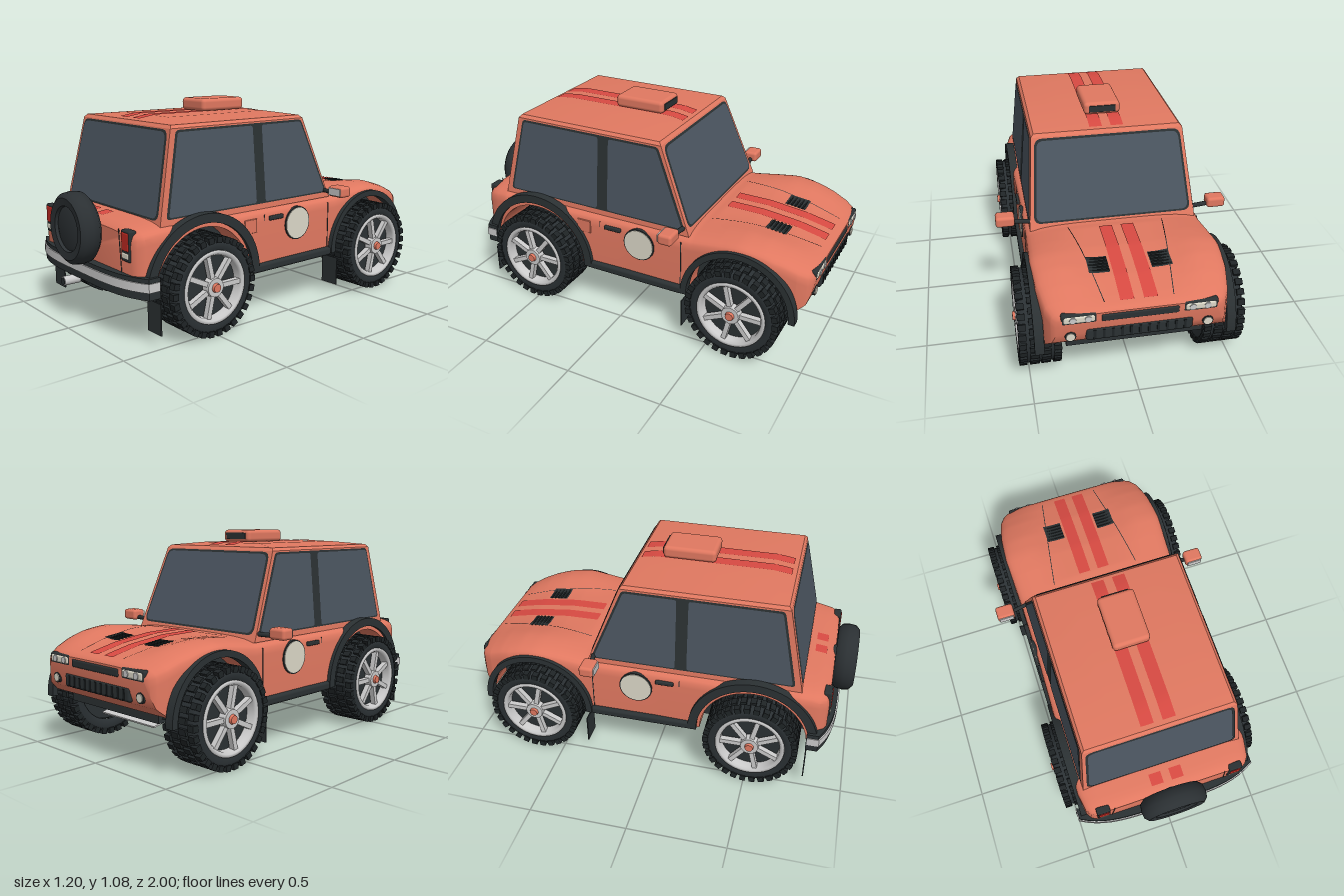
import * as THREE from 'three';
import { mergeGeometries, toCreasedNormals } from 'three/addons/utils/BufferGeometryUtils.js';
import { RoundedBoxGeometry } from 'three/addons/geometries/RoundedBoxGeometry.js';
import { ConvexGeometry } from 'three/addons/geometries/ConvexGeometry.js';

const mat = (color, side = THREE.FrontSide) => new THREE.MeshStandardMaterial({ color, side });
const PAINT = mat(0xe07860), RED = mat(0xd84a42, THREE.DoubleSide), DARK = mat(0x2b3133, THREE.DoubleSide);
const GLASS = mat(0x4b5560, THREE.DoubleSide), GREY = mat(0xcccccc), CREAM = mat(0xdcd8c8), LAMP = mat(0xc02a22);
const TYRE = mat(0x2a3033), RUBBER = mat(0x1f2426);

// Body rules: half width, shoulder height, bonnet centre height and lower edge along z
const lerpTable = (t, z) => {
  if (z <= t[0][0]) return t[0][1];
  for (let i = 1; i < t.length; i++) if (z <= t[i][0]) {
    const [a, b] = [t[i - 1], t[i]];
    return a[1] + (b[1] - a[1]) * (z - a[0]) / (b[0] - a[0]);
  }
  return t[t.length - 1][1];
};
const WIDTH = [[-.99, .36], [-.98, .385], [-.965, .405], [-.92, .43], [-.8, .455], [-.64, .465], [-.35, .455], [0, .455], [.3, .463], [.52, .468], [.75, .465], [.84, .45], [.87, .43], [.885, .4]];
const EDGE = [[-.99, .49], [-.98, .505], [-.94, .525], [-.85, .562], [-.75, .59], [-.64, .6], [-.53, .592], [-.38, .57], [0, .572], [.75, .572], [.84, .56], [.87, .55], [.885, .535]];
const CENTRE = [[-.99, .49], [-.98, .503], [-.94, .517], [-.8, .548], [-.6, .572], [-.38, .575], [0, .572]];
const BASE = [[-.99, .44], [-.98, .38], [-.965, .33], [-.92, .29], [-.88, .25], [.6, .25], [.84, .27], [.885, .28]];
const AXLES = [-.64, .52], WHEEL_Y = .25, ARCH = .275;
const lowerY = z => Math.max(lerpTable(BASE, z), ...AXLES.map(a =>
  Math.abs(z - a) < ARCH ? WHEEL_Y + Math.sqrt(ARCH ** 2 - (z - a) ** 2) : 0));
const shoulderY = z => Math.max(lowerY(z) + .005, lerpTable(EDGE, z) - .08);
const topY = (x, z) => {
  const w = lerpTable(WIDTH, z), t = lerpTable(EDGE, z), s = Math.min(shoulderY(z), t - .005);
  const k = Math.min(1, Math.abs(x) / w);
  const dip = z < 0 ? Math.max(0, t - lerpTable(CENTRE, z)) : 0;
  return s + (t - s) * Math.pow(1 - k ** 4, .25) - dip * (1 - THREE.MathUtils.smoothstep(k, .3, .75));
};

function bodyGeometry() {
  const zs = WIDTH.map(p => p[0]);
  for (let z = -.96; z < .88; z += .04) zs.push(z);
  AXLES.forEach(a => { for (let i = 0; i <= 28; i++) zs.push(a - ARCH * 1.0001 * Math.cos(i / 28 * Math.PI)); });
  zs.sort((a, b) => a - b);
  const stations = zs.filter((z, i) => i === 0 || z - zs[i - 1] > 1e-4), rows = 28;
  const rings = stations.map(z => {
    const w = lerpTable(WIDTH, z), b = lowerY(z), ring = [[-w, b, z]];
    for (let i = 0; i <= rows; i++) {
      const x = w * Math.sin((i / rows - .5) * Math.PI);
      ring.push([x, topY(x, z), z]);
    }
    return ring.concat([[w, b, z]]);
  });
  const pos = [], n = rings[0].length, last = rings.length - 1;
  for (let i = 0; i < last; i++) for (let j = 0; j < n; j++) {
    const k = (j + 1) % n, a = rings[i][j], b = rings[i][k], c = rings[i + 1][j], d = rings[i + 1][k];
    pos.push(...a, ...c, ...b, ...b, ...c, ...d);
  }
  for (let j = 0; j < n; j++) {
    const k = (j + 1) % n;
    pos.push(0, .465, stations[0], ...rings[0][j], ...rings[0][k]);
    pos.push(0, .4, stations[last], ...rings[last][k], ...rings[last][j]);
  }
  const g = new THREE.BufferGeometry();
  g.setAttribute('position', new THREE.Float32BufferAttribute(pos, 3));
  return toCreasedNormals(g, .6);
}

// Flat polygon with rounded corners
function roundedShape(pts, r) {
  const s = new THREE.Shape(), P = pts.map(p => new THREE.Vector2(...p)), n = P.length;
  P.forEach((p, i) => {
    const toward = q => p.clone().add(q.clone().sub(p).setLength(r));
    const a = toward(P[(i + n - 1) % n]), b = toward(P[(i + 1) % n]);
    i ? s.lineTo(a.x, a.y) : s.moveTo(a.x, a.y);
    s.quadraticCurveTo(p.x, p.y, b.x, b.y);
  });
  return s.closePath();
}

// Moves every vertex of a geometry by a rule
function remap(g, rule) {
  const p = g.attributes.position;
  for (let i = 0; i < p.count; i++) p.setXYZ(i, ...rule(p.getX(i), p.getY(i), p.getZ(i)));
  g.computeVertexNormals();
  return g;
}

function wheelGroup() {
  const wheel = new THREE.Group();
  const put = (name, g, m, y = 0) => { const o = new THREE.Mesh(g, m); o.name = name; o.position.y = y; wheel.add(o); };
  const lathe = (pts, m, name, seg = 48) => put(name, new THREE.LatheGeometry(pts.map(p => new THREE.Vector2(...p)), seg), m);
  lathe([[.165, -.08], [.175, -.092], [.205, -.097], [.224, -.088], [.231, -.06], [.231, .06], [.224, .088], [.205, .097], [.175, .092], [.165, .08]], TYRE, 'tyre');
  // Tread blocks in staggered rows
  const blocks = [];
  for (let i = 0; i < 30; i++) [[-.082, .036, 0], [-.027, .044, .5], [.027, .044, 0], [.082, .036, .5]].forEach(([y, h, shift]) => {
    const shoulder = Math.abs(y) > .05;
    const g = new THREE.BoxGeometry(shoulder ? .03 : .02, h, .03);
    g.translate(shoulder ? .227 : .232, y, 0).rotateY((i + shift) / 30 * Math.PI * 2);
    blocks.push(g);
  });
  put('tread', mergeGeometries(blocks), RUBBER);
  put('wheelBack', new THREE.CylinderGeometry(.166, .166, .11, 40), DARK, -.005);
  lathe([[.155, .05], [.178, .09], [.176, .1], [.162, .1], [.153, .088], [.15, .05]].reverse(), mat(0xcccccc, THREE.DoubleSide), 'rim');
  const spokes = [];
  for (let i = 0; i < 7; i++)
    spokes.push(new THREE.BoxGeometry(.13, .03, .024).translate(.095, .075, 0).rotateY(i / 7 * Math.PI * 2 + Math.PI / 2));
  put('spokes', mergeGeometries(spokes), GREY);
  put('hub', new THREE.CylinderGeometry(.045, .05, .04, 24), GREY, .08);
  put('hubCap', new THREE.CylinderGeometry(.02, .025, .02, 16), PAINT, .103);
  return wheel;
}

export function createModel() {
  const car = new THREE.Group();
  car.name = 'car';
  const add = (name, g, m, x = 0, y = 0, z = 0) => {
    const o = new THREE.Mesh(g, m);
    o.name = name; o.position.set(x, y, z); car.add(o);
    return o;
  };
  const box = (name, m, w, h, d, x, y, z, r = 0) => add(name, r ? new RoundedBoxGeometry(w, h, d, 3, r) : new THREE.BoxGeometry(w, h, d), m, x, y, z);
  const panel = (name, m, pts, r, rule) => add(name, remap(new THREE.ShapeGeometry(roundedShape(pts, r), 6), rule), m);
  const both = fn => [1, -1].forEach(fn);

  add('body', bodyGeometry(), PAINT);
  box('floor', DARK, .66, .05, 1.74, 0, .262, -.02);
  box('floorMiddle', DARK, .9, .02, .58, 0, .248, -.062);
  box('innerWells', DARK, .66, .22, 1.58, 0, .38, -.1);

  // Cabin with a slightly crowned roof
  const corners = [];
  both(s => [[.43, .55, .747], [.43, .55, -.362], [.39, .985, .655], [.39, .985, -.187], [.375, 1, .642], [.375, 1, -.172], [.2, 1.017, .53], [.2, 1.017, -.08]]
    .forEach(([x, y, z]) => corners.push(new THREE.Vector3(s * x, y, z))));
  add('cabin', toCreasedNormals(new ConvexGeometry(corners), .25), PAINT);

  // Windows and their seals
  const rear = off => (x, y) => [x, y, .747 - (y - .55) * .2115 + off];
  const front = off => (x, y) => [x, y, -.362 + (y - .55) * .402 - off];
  const tall = (w0, w1, y0, y1) => [[-w0, y0], [w0, y0], [w1, y1], [-w1, y1]];
  [['rearWindow', rear, 0], ['windscreen', front, .01]].forEach(([name, rule, lift]) => {
    panel(name + 'Seal', DARK, tall(.408, .374, .572 + lift, .98), .04, rule(.003));
    panel(name, GLASS, tall(.396, .363, .582 + lift, .97), .035, rule(.006));
  });
  both(s => {
    const side = off => (z, y) => [s * (.43 - (y - .55) * .092 + off), y, z];
    panel('sideSeal', DARK, [[.712, .578], [.628, .978], [-.172, .978], [-.34, .578]], .02, side(.003));
    panel('rearSideWindow', GLASS, [[.698, .586], [.619, .968], [.165, .968], [.165, .586]], .015, side(.006));
    panel('doorWindow', GLASS, [[.105, .586], [.105, .968], [-.164, .968], [-.324, .586]], .015, side(.006));
  });

  // Roof scoop and racing stripes
  box('roofScoop', PAINT, .19, .065, .275, 0, 1.052, .098, .02);
  box('scoopIntake', DARK, .14, .034, .01, 0, 1.052, -.039);
  const strip = (name, m, x, w, z0, z1, height, slant = 0) => add(name, remap(new THREE.PlaneGeometry(w, z1 - z0, 2, 24).rotateX(-Math.PI / 2),
    (px, py, pz) => { const z = pz + (z0 + z1) / 2, xx = px + x + slant * (z - z0); return [xx, height(xx, z) + .004, z]; }), m);
  const roofY = (x, z) => 1.017 - .017 * Math.max(0, (z - .53) / .112, (-.08 - z) / .092);
  both(s => {
    strip('roofStripe', RED, s * .055, .065, -.155, .62, roofY);
    strip('bonnetStripe', RED, s * .055, .065, -.95, -.42, topY);
    strip('rearStripe', RED, s * .055, .065, .78, .84, topY);
    strip('bonnetSeam', DARK, s * .16, .004, -.95, -.4, topY, s * .15);
    strip('bonnetVent', DARK, s * .15, .1, -.78, -.67, topY);
    for (let i = 0; i < 5; i++) {
      const z = -.765 + i * .02;
      box('ventSlat', RUBBER, .095, .008, .008, s * .15, topY(.15, z) + .006, z);
    }
  });

  // Wheels, arch flares and mud flaps
  both(s => AXLES.forEach((z, i) => {
    const wheel = wheelGroup();
    wheel.name = i ? 'rearWheel' : 'frontWheel';
    wheel.position.set(s * .447, WHEEL_Y, z);
    wheel.rotation.z = -s * Math.PI / 2;
    car.add(wheel);
    const outer = i ? .335 : .3, arc = new THREE.Shape();
    arc.absarc(0, 0, outer, -.03, Math.PI + .03, false);
    arc.absarc(0, 0, i ? .29 : .268, Math.PI + .03, -.03, true);
    const flare = add('archFlare', new THREE.ExtrudeGeometry(arc, { depth: .045, bevelEnabled: false, curveSegments: 32 }), DARK, s * .4575 - .0225, WHEEL_Y + .005, z);
    flare.rotation.y = Math.PI / 2;
    box('mudFlap', DARK, .105, .15, .006, s * .452, .145, z + .28);
  }));

  // Doors and side trim
  both(s => {
    box('sill', DARK, .05, .045, .57, s * .453, .258, -.06, .015);
    const disc = (name, r, m, x) => { add(name, new THREE.CylinderGeometry(r, r, .03, 40), m, s * x, .45, -.095).rotation.z = Math.PI / 2; };
    disc('roundelRim', .087, DARK, .446);
    disc('roundel', .081, CREAM, .449);
    box('doorHandle', DARK, .02, .022, .095, s * .459, .503, .058, .006);
    box('doorSeam', DARK, .006, .25, .004, s * .4555, .4, .135);
    box('doorSeam', DARK, .006, .25, .004, s * .4545, .4, -.33);
    // Mirror on a short arm
    const arm = new THREE.LineCurve3(new THREE.Vector3(s * .41, .59, -.33), new THREE.Vector3(s * .52, .588, -.31));
    add('mirrorArm', new THREE.TubeGeometry(arm, 1, .012, 8), DARK);
    box('mirror', PAINT, .096, .056, .075, s * .551, .603, -.31, .015);
    box('mirrorGlass', GREY, .078, .038, .006, s * .551, .603, -.271);
  });
  box('fuelFlap', PAINT, .01, .07, .08, .461, .48, .23, .004);

  // Nose: lamps and grilles
  box('upperGrille', DARK, .36, .04, .03, 0, .462, -.98, .01);
  box('lowerGrille', DARK, .5, .07, .04, 0, .37, -.968, .015);
  for (let i = 0; i < 11; i++) box('grilleBar', RUBBER, .012, .05, .01, (i - 5) * .042, .37, -.986);
  both(s => {
    box('headlampFrame', DARK, .165, .056, .04, s * .28, .468, -.972, .012);
    box('headlamp', CREAM, .148, .04, .04, s * .28, .468, -.976, .012);
    [.24, .31].forEach(x => { add('lampLens', new THREE.CylinderGeometry(.016, .016, .01, 20), GREY, s * x, .468, -.995).rotation.x = Math.PI / 2; });
    add('fogLampRim', new THREE.CylinderGeometry(.026, .026, .03, 24), DARK, s * .32, .37, -.97).rotation.x = Math.PI / 2;
    add('fogLamp', new THREE.CylinderGeometry(.02, .02, .03, 24), CREAM, s * .32, .37, -.974).rotation.x = Math.PI / 2;
  });

  // Tail: lamps, seams, bumper and spare wheel
  both(s => {
    box('tailLampFrame', DARK, .072, .145, .04, s * .363, .475, .872, .008);
    box('tailLamp', LAMP, .056, .085, .04, s * .363, .495, .876, .006);
    box('reverseLamp', CREAM, .056, .028, .04, s * .363, .43, .876, .006);
    box('tailgateSeam', DARK, .004, .2, .004, s * .31, .445, .885).rotation.z = s * .09;
  });
  const bumper = (name, m, w, h, d, y, z) => add(name, remap(new THREE.BoxGeometry(w, h, d, 24, 1, 1),
    (x, py, pz) => [x, py, pz - .075 * Math.pow(Math.abs(x) / .5, 4)]), m, 0, y, z);
  bumper('rearBumper', DARK, .99, .1, .06, .295, .897);
  bumper('bumperBand', GREY, 1, .042, .06, .303, .904);
  const tyre = [[.1, -.05], [.15, -.055], [.172, -.035], [.177, 0], [.172, .035], [.15, .055], [.112, .05], [.107, .035], [.09, .04], [0, .042]];
  add('spareWheel', toCreasedNormals(new THREE.LatheGeometry(tyre.map(p => new THREE.Vector2(...p)), 48), .7), mat(0x2b3033, THREE.DoubleSide), 0, .5, .94).rotation.x = Math.PI / 2;
  add('spareMount', new THREE.CylinderGeometry(.09, .09, .05, 24), DARK, 0, .46, .895).rotation.x = Math.PI / 2;

  // Exhaust and skid plate
  add('exhaust', new THREE.CylinderGeometry(.024, .024, .09, 20), GREY, -.21, .175, .865).rotation.x = Math.PI / 2;
  add('exhaustBore', new THREE.CylinderGeometry(.019, .019, .004, 20), DARK, -.21, .175, .911).rotation.x = Math.PI / 2;
  box('skidPlate', GREY, .4, .008, .22, 0, .207, -.7).rotation.x = -.26;
  return car;
}
